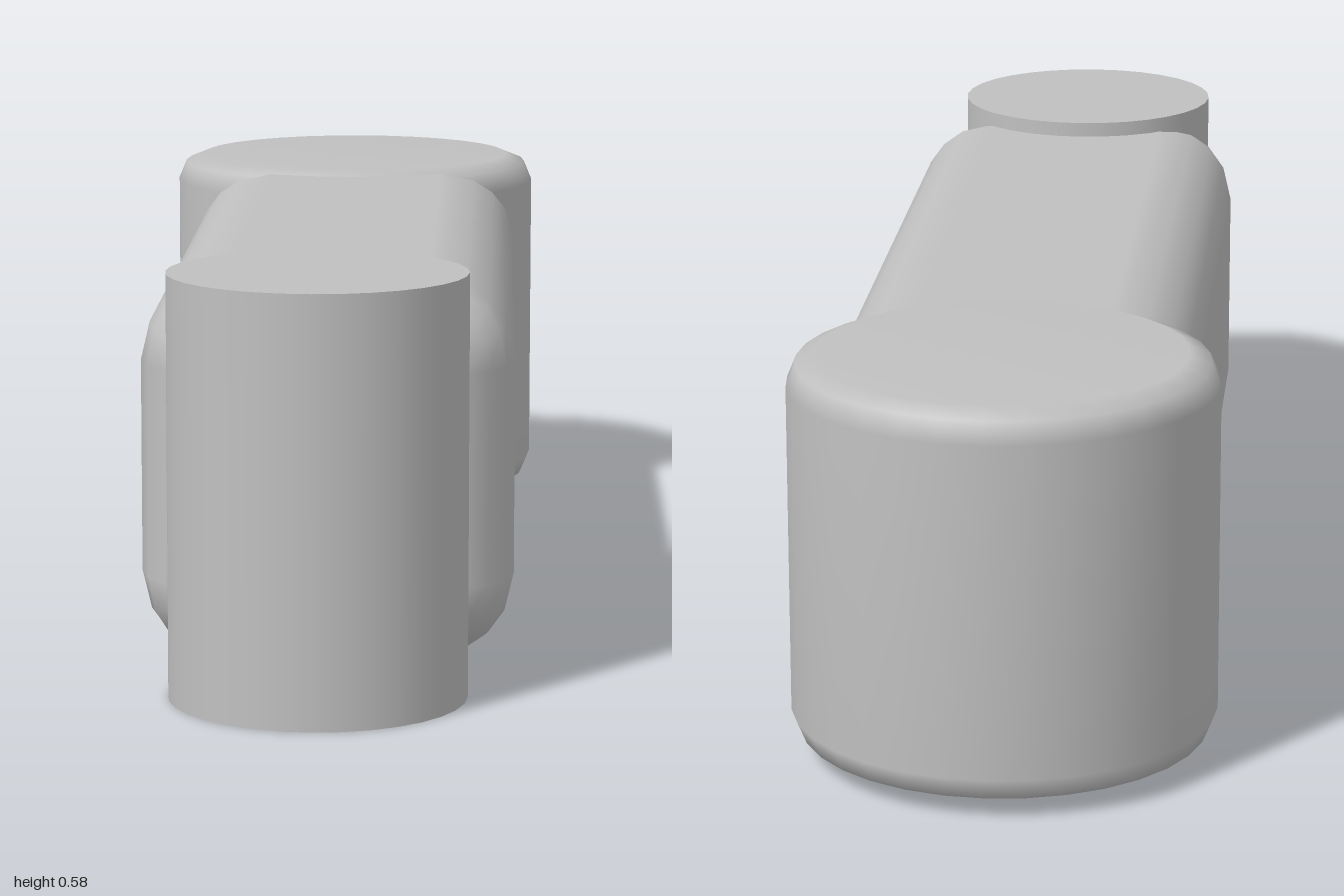
import * as THREE from 'three';
import { RoundedBoxGeometry } from 'three/addons/geometries/RoundedBoxGeometry.js';

const grey = new THREE.MeshStandardMaterial({ color: 0xc0c0c0 });
grey.name = 'plain grey';

function part(name, geometry, x, y, z) {
  const mesh = new THREE.Mesh(geometry, grey);
  mesh.name = name;
  mesh.position.set(x, y, z);
  return mesh;
}

// Upright cylinder with rounded rims, as a lathe around its own centre
function roundedCylinder(radius, height, bevel, steps, sides) {
  const half = height / 2;
  const upper = [];
  for (let i = 0; i <= steps; i++) {
    const a = (i / steps) * Math.PI / 2;
    upper.push(new THREE.Vector2(
      radius - bevel + bevel * Math.cos(a),
      half - bevel + bevel * Math.sin(a)
    ));
  }
  const lower = upper.map(p => new THREE.Vector2(p.x, -p.y)).reverse();
  const profile = [new THREE.Vector2(0, -half), ...lower, ...upper, new THREE.Vector2(0, half)];
  return new THREE.LatheGeometry(profile, sides);
}

export function createModel() {
  const model = new THREE.Group();
  model.name = 'crankArm';

  // Plain pin at the front
  model.add(part('frontPin', new THREE.CylinderGeometry(0.205, 0.205, 0.585, 32), 0, 0.2925, 0.795));

  // Beam with softly rounded edges, running into both cylinders
  model.add(part('arm', new RoundedBoxGeometry(0.517, 0.537, 1.57, 2, 0.12), 0.0085, 0.2935, 0));

  // Wide hub at the back with rounded rims
  model.add(part('backHub', roundedCylinder(0.298, 0.553, 0.043, 2, 32), 0, 0.2935, -0.702));

  return model;
}
